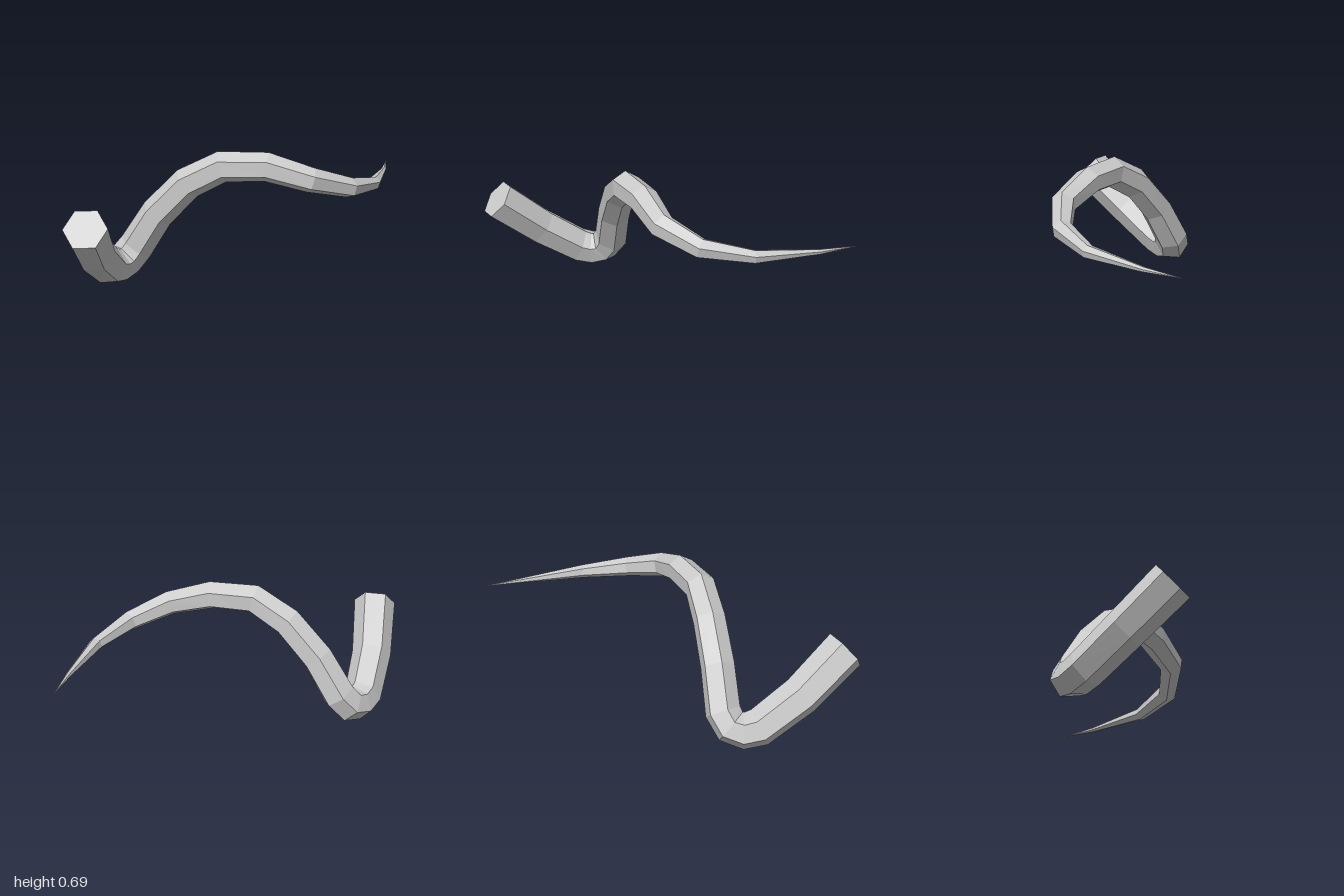
import * as THREE from 'three';

// Centre line of the tendril: x, y, z, radius
const RINGS = [
  [-0.92, 0.425, -0.05, 0.106],
  [-0.755, 0.235, -0.22, 0.1],
  [-0.588, 0.1, -0.347, 0.095],
  [-0.522, 0.083, -0.374, 0.092],
  [-0.458, 0.1, -0.382, 0.09],
  [-0.41, 0.16, -0.36, 0.088],
  [-0.35, 0.345, -0.257, 0.084],
  [-0.265, 0.513, -0.12, 0.081],
  [-0.17, 0.61, 0.03, 0.078],
  [-0.022, 0.615, 0.19, 0.073],
  [0.125, 0.555, 0.347, 0.063],
  [0.335, 0.492, 0.403, 0.051],
  [0.575, 0.457, 0.338, 0.034],
  [0.84, 0.445, 0.153, 0.013],
  [1.0, 0.445, 0.02, 0],
];
const SIDES = 6;

// Hexagonal cross-sections carried along the path without twisting
function tendrilGeometry() {
  const centres = RINGS.map(([x, y, z]) => new THREE.Vector3(x, y, z));
  const last = centres.length - 1;
  const chord = (i) => centres[i + 1].clone().sub(centres[i]).normalize();
  const tangents = centres.map((c, i) =>
    i === 0 ? new THREE.Vector3(0.57, -0.62, -0.54).normalize()
      : i === last ? chord(last - 1)
        : chord(i - 1).add(chord(i)).normalize());

  const u = new THREE.Vector3(0, -0.07, 0.08).projectOnPlane(tangents[0]).normalize();
  const turn = new THREE.Quaternion();
  const positions = [];
  const indices = [];

  for (let i = 0; i <= last; i++) {
    if (i > 0) u.applyQuaternion(turn.setFromUnitVectors(tangents[i - 1], tangents[i]));
    const v = tangents[i].clone().cross(u);
    for (let k = 0; k < SIDES; k++) {
      const a = (k / SIDES) * Math.PI * 2;
      const p = centres[i].clone()
        .addScaledVector(u, Math.cos(a) * RINGS[i][3])
        .addScaledVector(v, Math.sin(a) * RINGS[i][3]);
      positions.push(p.x, p.y, p.z);
    }
  }

  // Side walls, closing to a point at the tip
  for (let i = 0; i < last; i++) {
    for (let k = 0; k < SIDES; k++) {
      const a = i * SIDES + k;
      const b = i * SIDES + ((k + 1) % SIDES);
      indices.push(a, b, b + SIDES);
      if (i < last - 1) indices.push(a, b + SIDES, a + SIDES);
    }
  }
  // Flat cap on the thick end
  for (let k = 1; k < SIDES - 1; k++) indices.push(0, k + 1, k);

  const indexed = new THREE.BufferGeometry();
  indexed.setAttribute('position', new THREE.Float32BufferAttribute(positions, 3));
  indexed.setIndex(indices);
  const geometry = indexed.toNonIndexed();
  geometry.computeVertexNormals();
  return geometry;
}

export function createModel() {
  const group = new THREE.Group();
  group.name = 'tendrilModel';
  const material = new THREE.MeshStandardMaterial({ color: 0xcccccc, flatShading: true });
  const tendril = new THREE.Mesh(tendrilGeometry(), material);
  tendril.name = 'tendril';
  group.add(tendril);
  return group;
}
